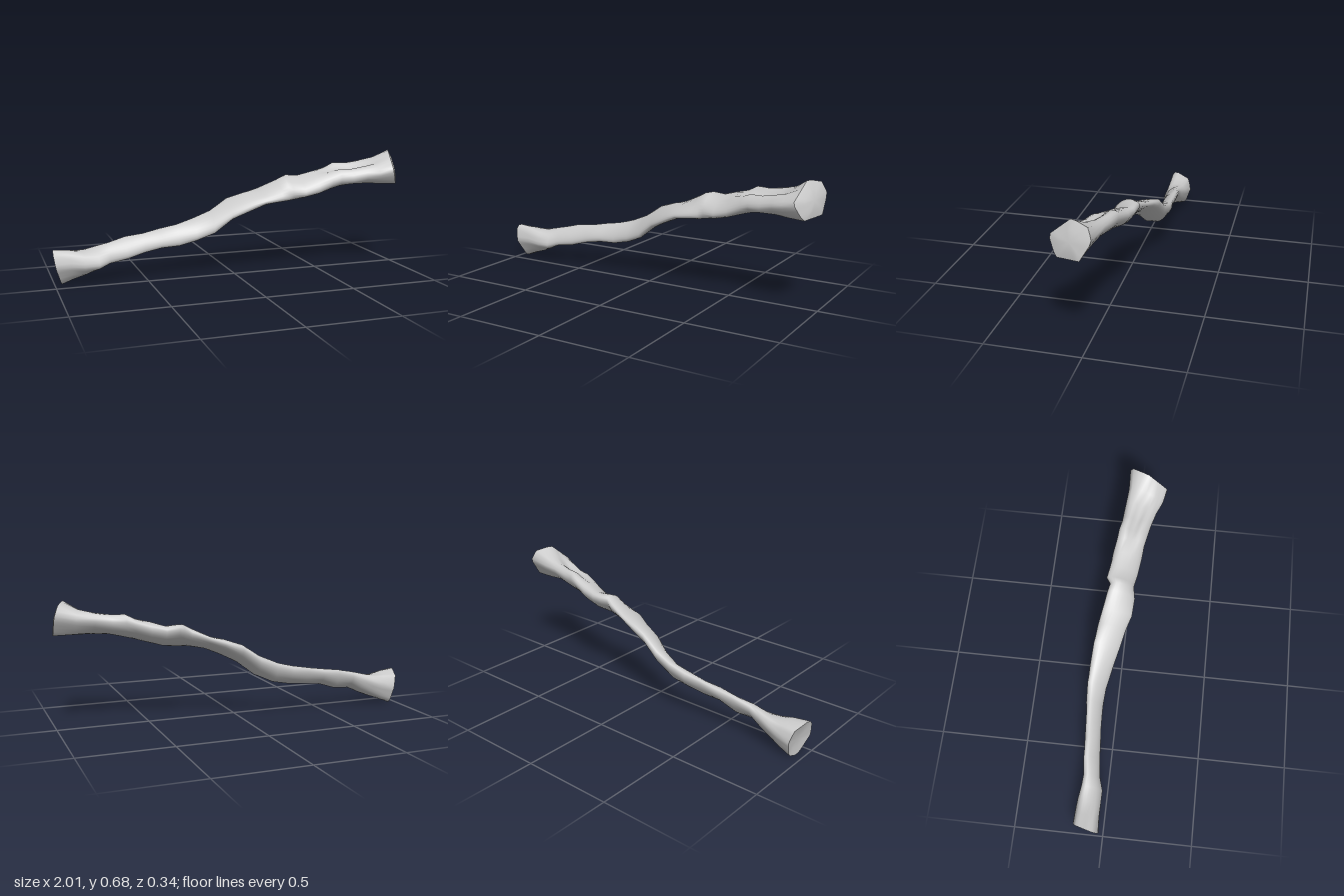
import * as THREE from 'three';

const SIDES = 24;

// Shaft stations: x, top, bottom, back z, front z
const STATIONS = [
  [-0.975, 0.205, 0.005, -0.17, -0.02],
  [-0.9, 0.2, 0.03, -0.165, -0.025],
  [-0.83, 0.192, 0.05, -0.157, -0.025],
  [-0.76, 0.2, 0.075, -0.147, -0.028],
  [-0.7, 0.215, 0.11, -0.137, -0.045],
  [-0.6, 0.235, 0.118, -0.147, -0.06],
  [-0.5, 0.25, 0.152, -0.152, -0.065],
  [-0.4, 0.265, 0.163, -0.157, -0.073],
  [-0.3, 0.285, 0.172, -0.168, -0.075],
  [-0.2, 0.31, 0.19, -0.172, -0.068],
  [-0.1, 0.355, 0.235, -0.168, -0.045],
  [0, 0.42, 0.31, -0.158, -0.015],
  [0.1, 0.455, 0.362, -0.145, 0.01],
  [0.18, 0.475, 0.395, -0.128, 0.04],
  [0.28, 0.52, 0.41, -0.114, 0.042],
  [0.32, 0.545, 0.415, -0.098, 0.038],
  [0.35, 0.55, 0.418, -0.12, 0.035],
  [0.42, 0.54, 0.423, -0.113, 0.045],
  [0.5, 0.565, 0.445, -0.105, 0.058],
  [0.58, 0.59, 0.473, -0.088, 0.07],
  [0.63, 0.613, 0.483, -0.085, 0.077],
  [0.7, 0.615, 0.495, -0.072, 0.093],
  [0.78, 0.63, 0.502, -0.062, 0.122],
  [0.86, 0.65, 0.497, -0.057, 0.152],
  [0.96, 0.69, 0.495, -0.06, 0.172],
];

// Outlines of the two end faces as [z, y]
const SMALL_END = [[-0.02, 0.11], [-0.04, 0.2], [-0.07, 0.205], [-0.15, 0.175],
  [-0.17, 0.11], [-0.14, 0.02], [-0.1, 0.005], [-0.07, 0.01]];
const LARGE_END = [[0.172, 0.585], [0.12, 0.63], [0.05, 0.69], [-0.04, 0.67],
  [-0.06, 0.61], [0, 0.51], [0.13, 0.495]];

// Point of an outline, in its own -1..1 box, in the direction of angle a
function outlinePoint(outline, [, top, bottom, back, front], a) {
  const pts = outline.map(([z, y]) => [
    (2 * z - back - front) / (front - back), (2 * y - top - bottom) / (top - bottom)]);
  const dx = Math.cos(a), dy = Math.sin(a);
  for (let i = 0; i < pts.length; i++) {
    const p = pts[i], q = pts[(i + 1) % pts.length];
    const ex = q[0] - p[0], ey = q[1] - p[1];
    const det = dx * ey - dy * ex;
    const r = (p[0] * ey - p[1] * ex) / det;
    const t = (p[0] * dy - p[1] * dx) / det;
    if (r > 0 && t >= -1e-6 && t <= 1 + 1e-6) return [dx * r, dy * r];
  }
  return [dx, dy];
}

// One cross-section, blending from the shaft shape into the end outlines
function ring(station) {
  const [x, top, bottom, back, front] = station;
  const large = x > 0;
  const outline = large ? LARGE_END : SMALL_END;
  const end = STATIONS[large ? STATIONS.length - 1 : 0];
  const blend = THREE.MathUtils.smoothstep(Math.abs(x), 0.68, 0.95);
  const slant = THREE.MathUtils.clamp((Math.abs(x) - 0.74) / 0.2, 0, 1);
  const groove = 0.05 * Math.max(0, 1 - Math.abs(x - 0.72) / 0.22);
  // the shaft is a flattened oval leaning from back top to front bottom
  const lean = -0.6 + 0.25 * THREE.MathUtils.smoothstep(x, 0.35, 0.65);
  const points = [];
  for (let j = 0; j < SIDES; j++) {
    const a = (j / SIDES) * Math.PI * 2;
    const c = Math.cos(a), s = Math.sin(a);
    const shaft = [c, s * Math.sqrt(1 - lean * lean) + c * lean];
    const tip = outlinePoint(outline, end, a);
    const u = THREE.MathUtils.lerp(shaft[0], tip[0], blend);
    const v = THREE.MathUtils.lerp(shaft[1], tip[1], blend);
    const bump = 0.003 * Math.sin(x * 31 + a * 3) * (1 - blend);
    const z = (back + front) / 2 + u * ((front - back) / 2 + bump);
    let y = (top + bottom) / 2 + v * ((top - bottom) / 2 + bump);
    // hollow between the two ridges on top
    if (s > 0) y -= groove * Math.exp(-(((c - 0.05) / 0.35) ** 2));
    const tilt = large
      ? -0.42 * (z - 0.05) - 0.25 * (y - 0.59)
      : -0.2 * (y - 0.1) - 0.25 * (z + 0.1);
    points.push([x + slant * tilt, y, z]);
  }
  return points;
}

function makeGeometry(positions, index) {
  const g = new THREE.BufferGeometry();
  g.setAttribute('position', new THREE.Float32BufferAttribute(positions.flat(), 3));
  g.setIndex(index);
  g.computeVertexNormals();
  return g;
}

// Closed end face: rim, inner ring and centre, bulging by the given depth
function capGeometry(rim, depth, facing) {
  const centre = [0, 1, 2].map((k) => rim.reduce((sum, p) => sum + p[k], 0) / SIDES);
  const inner = rim.map((p) => p.map((v, k) =>
    THREE.MathUtils.lerp(v, centre[k], 0.45) + (k === 0 ? depth * 0.8 : 0)));
  centre[0] += depth;
  const index = [];
  const add = (a, b, c) => index.push(...(facing > 0 ? [a, b, c] : [a, c, b]));
  for (let j = 0; j < SIDES; j++) {
    const n = (j + 1) % SIDES;
    add(j, SIDES + j, n);
    add(n, SIDES + j, SIDES + n);
    add(2 * SIDES, SIDES + n, SIDES + j);
  }
  return makeGeometry([...rim, ...inner, centre], index);
}

export function createModel() {
  const group = new THREE.Group();
  group.name = 'bone';
  const material = new THREE.MeshStandardMaterial({ color: 0xcccccc });
  const addPart = (name, geometry) => {
    const mesh = new THREE.Mesh(geometry, material);
    mesh.name = name;
    group.add(mesh);
  };

  // Shaft lofted through all the stations
  const rings = STATIONS.map(ring);
  const index = [];
  for (let i = 0; i < rings.length - 1; i++) {
    for (let j = 0; j < SIDES; j++) {
      const n = (j + 1) % SIDES;
      const a = i * SIDES + j, b = i * SIDES + n;
      index.push(a, a + SIDES, b, b, a + SIDES, b + SIDES);
    }
  }
  addPart('shaft', makeGeometry(rings.flat(), index));

  // End faces
  addPart('smallEnd', capGeometry(rings[0], 0.01, -1));
  addPart('largeEnd', capGeometry(rings[rings.length - 1], 0.018, 1));
  return group;
}
